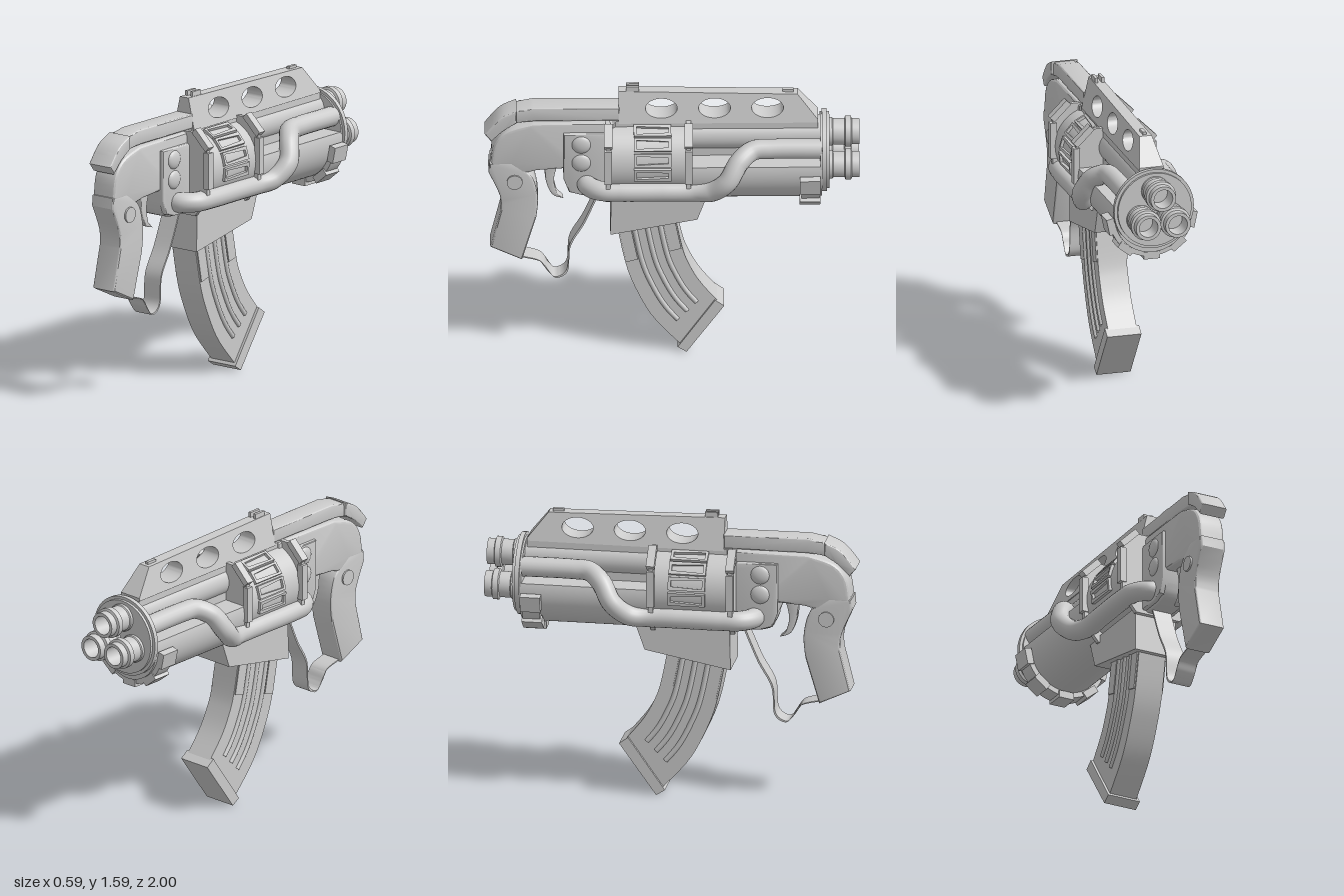
import * as THREE from 'three';
import { toCreasedNormals } from 'three/addons/utils/BufferGeometryUtils.js';

const V2 = (p) => new THREE.Vector2(p[0], p[1]);
const V3 = (p) => new THREE.Vector3(...p);
const spline = (pts, n = 20) => new THREE.SplineCurve(pts.map(V2)).getPoints(n).map((p) => [p.x, p.y]);

export function createModel() {
  const group = new THREE.Group();
  const mat = new THREE.MeshStandardMaterial({ color: 0xcccccc, side: THREE.DoubleSide });

  const add = (name, geo, x = 0, y = 0, z = 0) => {
    const mesh = new THREE.Mesh(geo, mat);
    mesh.name = name;
    mesh.position.set(x, y, z);
    group.add(mesh);
    return mesh;
  };
  const box = (name, w, h, d, x, y, z) => add(name, new THREE.BoxGeometry(w, h, d), x, y, z);

  // side outline in (z, y), extruded across x to a half width
  const sideGeo = (pts, half, bevel = 0, holes = []) => {
    const shape = new THREE.Shape(pts.map(V2));
    shape.holes.push(...holes);
    const depth = 2 * (half - bevel);
    const geo = new THREE.ExtrudeGeometry(shape, {
      depth, bevelEnabled: bevel > 0, bevelSize: bevel, bevelThickness: bevel,
      bevelOffset: -bevel, bevelSegments: 3, curveSegments: 24,
    });
    geo.translate(0, 0, -depth / 2).rotateY(-Math.PI / 2);
    return toCreasedNormals(geo, 0.5);
  };
  const side = (name, ...args) => add(name, sideGeo(...args));

  // front outline in (x, y), extruded from z0 to z1
  const along = (name, shape, z0, z1) => {
    const geo = new THREE.ExtrudeGeometry(shape, { depth: z1 - z0, bevelEnabled: false, curveSegments: 32 });
    return add(name, toCreasedNormals(geo, 0.5), 0, 0, z0);
  };
  const rod = (name, r, z0, z1, x, y, seg = 32) =>
    add(name, new THREE.CylinderGeometry(r, r, z1 - z0, seg).rotateX(Math.PI / 2), x, y, (z0 + z1) / 2);
  const tube = (name, curve, r, n = 60) => add(name, new THREE.TubeGeometry(curve, n, r, 18));
  const rectPath = (z0, z1, y0, y1) => new THREE.Path([[z0, y0], [z1, y0], [z1, y1], [z0, y1]].map(V2));

  // rear frame
  side('rearFrame', [[0.3, 1.395], ...spline([[0.74, 1.39], [0.88, 1.345], [0.95, 1.26], [0.97, 1.13]], 14),
    [0.86, 1.13], [0.8, 1.08], [0.72, 1.1], [0.58, 1.11], ...spline([[0.57, 1.02], [0.545, 0.97], [0.48, 0.95]], 8),
    [0.3, 0.95]], 0.075, 0.02);
  side('sidePanel', [[0.58, 1.335], [0.36, 1.335], [0.33, 1.3], [0.33, 0.96], [0.48, 0.96], [0.55, 0.98], [0.58, 1.06]], 0.095, 0.01);

  // back strap with two cut-outs, and its rear cap
  side('backStrap', [[0.28, 1.475], ...spline([[0.74, 1.478], [0.86, 1.45], [0.94, 1.4], [0.995, 1.325]], 12),
    ...spline([[0.96, 1.29], [0.9, 1.35], [0.82, 1.385], [0.72, 1.395]], 12), [0.28, 1.395]], 0.06, 0.012,
  [rectPath(0.52, 0.57, 1.412, 1.46), rectPath(0.765, 0.805, 1.412, 1.45)]);
  side('strapCap', [...spline([[0.83, 1.465], [0.92, 1.42], [1.0, 1.325]], 8),
    ...spline([[0.965, 1.28], [0.9, 1.345], [0.83, 1.39]], 8)], 0.075, 0.01);

  // grip, pivots and trigger
  side('grip', [[0.975, 1.15], [0.86, 1.155], ...spline([[0.79, 1.11], [0.74, 1.05], [0.715, 0.93], [0.725, 0.81]], 10),
    [0.8, 0.555], [0.97, 0.635], ...spline([[0.915, 0.86], [0.92, 0.95], [0.98, 1.09]], 8)], 0.075, 0.014);
  add('gripPivot', new THREE.CylinderGeometry(0.042, 0.042, 0.17, 28).rotateZ(Math.PI / 2), 0, 1.035, 0.84);
  side('trigger', [...spline([[0.68, 1.13], [0.675, 1.02], [0.64, 0.93], [0.58, 0.905]], 12),
    ...spline([[0.615, 0.94], [0.63, 1.02], [0.605, 1.13]], 12)], 0.025, 0.006);

  // thin strap looping from receiver to grip
  const guard = spline([[0.385, 0.96], [0.465, 0.77], [0.54, 0.63], [0.555, 0.48], [0.615, 0.435],
    [0.66, 0.475], [0.7, 0.535], [0.81, 0.565]], 48);
  side('guardStrap', [...guard, ...guard.map(([z, y]) => [z + 0.007, y + 0.008]).reverse()], 0.055);

  // central core and top rail, narrowing towards the top
  box('core', 0.13, 0.4, 1.1, 0, 1.195, -0.23);
  const holes = [0.057, -0.227, -0.51].map((z) => new THREE.Path().absellipse(z, 1.467, 0.085, 0.053, 0, Math.PI * 2));
  let rail = sideGeo([[0.285, 1.385], [0.285, 1.56], [-0.67, 1.54], [-0.78, 1.4], [-0.78, 1.385]], 0.07, 0, holes);
  const pos = rail.attributes.position;
  for (let i = 0; i < pos.count; i++) {
    pos.setX(i, pos.getX(i) * THREE.MathUtils.mapLinear(pos.getY(i), 1.385, 1.56, 1, 0.42));
  }
  add('topRail', toCreasedNormals(rail, 0.5));
  for (const s of [-1, 1]) box('rearSight', 0.016, 0.05, 0.07, s * 0.018, 1.56, 0.21);
  box('frontSight', 0.02, 0.03, 0.06, 0, 1.54, -0.62);

  // slotted drum between two eight-sided clamps
  rod('drum', 0.205, -0.1, 0.35, 0, 1.17, 48);
  const clamp = [[0.13, 1.4], [0.215, 1.32], [0.215, 1.04], [0.13, 0.94]];
  const ring = new THREE.Shape([...clamp, ...clamp.map(([x, y]) => [-x, y]).reverse()].map(V2));
  for (const z of [-0.1, 0.33]) {
    along('clampPlate', ring, z, z + 0.025);
    for (const s of [-1, 1]) {
      const tab = box('clampTab', 0.13, 0.035, 0.045, s * 0.175, 1.365, z + 0.012);
      tab.rotation.z = -s * 0.78;
      box('clampSide', 0.035, 0.2, 0.04, s * 0.213, 1.2, z + 0.012);
    }
  }
  const slot = new THREE.Shape([[-0.1, -0.036], [0.1, -0.036], [0.1, 0.036], [-0.1, 0.036]].map(V2));
  slot.holes.push(new THREE.Path([[-0.085, -0.024], [0.085, -0.016], [0.085, 0.016], [-0.085, 0.024]].map(V2)));
  for (const s of [-1, 1]) {
    for (const a of [-0.1, 0.3, 0.7, 1.08]) {
      const geo = new THREE.ExtrudeGeometry(slot, { depth: 0.02, bevelEnabled: false });
      const frame = add('slotFrame', geo.rotateY(Math.PI / 2), 0, 0, 0);
      const angle = s > 0 ? a : Math.PI - a;
      frame.rotation.z = angle;
      frame.position.set(Math.cos(angle) * 0.2, 1.17 + Math.sin(angle) * 0.2, 0.105);
    }
  }

  // lower shroud, upper tube and front plate
  const lower = new THREE.Shape().absarc(0, 1.135, 0.207, 0.25, Math.PI - 0.25, true);
  along('lowerShroud', lower, -0.8, -0.08);
  rod('upperTube', 0.088, -0.8, -0.05, 0, 1.29);
  rod('frontPlate', 0.222, -0.825, -0.8, 0, 1.18, 40);
  rod('frontPlateLip', 0.205, -0.84, -0.79, 0, 1.18, 40);

  // collar with raised blocks under the muzzle end
  const collar = new THREE.Shape().absarc(0, 1.135, 0.235, -0.12, Math.PI + 0.12, true);
  along('muzzleCollar', collar, -0.785, -0.69);
  for (let i = 0; i < 5; i++) {
    const a = -Math.PI / 2 + (i - 2) * 0.68;
    const block = box('collarBlock', 0.04, 0.09, 0.11, Math.cos(a) * 0.23, 1.135 + Math.sin(a) * 0.23, -0.735);
    block.rotation.z = a;
  }

  // three hollow barrels
  const bore = [[0.052, 0.1], [0.052, 0.2], [0.07, 0.2], [0.07, 0.16], [0.083, 0.155], [0.083, 0.125],
    [0.07, 0.12], [0.07, 0.06], [0.076, 0.055], [0.076, 0], [0, 0], [0, 0.1], [0.052, 0.1]];
  for (const [x, y] of [[0, 1.292], [-0.082, 1.137], [0.082, 1.137]]) {
    const geo = new THREE.LatheGeometry(bore.map(V2), 32).rotateX(-Math.PI / 2);
    add('barrel', toCreasedNormals(geo, 0.5), x, y, -0.8);
  }

  // mirrored side pipes and panel domes
  for (const s of [-1, 1]) {
    const path = [[0.05, 1.03, 0.455], [0.11, 1.03, 0.45], [0.165, 1.03, 0.39], [0.178, 1.03, 0.28], [0.178, 1.03, 0.05],
      [0.18, 1.03, -0.12], [0.21, 1.045, -0.21], [0.24, 1.12, -0.295], [0.2, 1.215, -0.355],
      [0.145, 1.258, -0.43], [0.135, 1.262, -0.52], [0.135, 1.262, -0.8]];
    const curve = new THREE.CatmullRomCurve3(path.map(([x, y, z]) => V3([s * x, y, z])));
    tube('sidePipe', curve, 0.054, 110);
    for (const y of [1.27, 1.16]) {
      const dome = add('panelDome', new THREE.SphereGeometry(0.052, 24, 14), s * 0.09, y, 0.485);
      dome.scale.x = 0.45;
    }
  }

  // magazine well, curved magazine with ribs, and base plate
  side('magazineWell', [[0.325, 0.98], [0.33, 0.735], [-0.135, 0.825], [-0.19, 0.98]], 0.122);
  const rear = [[0.3, 0.8], [0.25, 0.545], [0.195, 0.385], [0.1, 0.205], [-0.055, 0.03]];
  const front = [[-0.015, 0.83], [-0.055, 0.63], [-0.09, 0.53], [-0.15, 0.42], [-0.255, 0.29]];
  side('magazine', [...spline(rear, 18), ...spline(front, 18).reverse()], 0.08);
  side('magazineBase', [[-0.03, 0.03], [-0.077, 0], [-0.278, 0.28], [-0.23, 0.315]], 0.095);
  const mix = (t) => rear.map(([z, y], i) => [z + (front[i][0] - z) * t, y + (front[i][1] - y) * t]);
  for (const s of [-1, 1]) {
    for (const t of [0.28, 0.5, 0.72]) {
      const pts = new THREE.SplineCurve(mix(t).map(V2)).getPoints(20).slice(0, 18);
      tube('magazineRib', new THREE.CatmullRomCurve3(pts.map((p) => V3([s * 0.078, p.y, p.x]))), 0.014, 30);
    }
  }
  for (const [a, b] of [[0.02, 0.22], [0.78, 0.98]]) {
    const [p, q] = [mix(a), mix(b)];
    side('magazinePanel', [p[0], p[1], q[1], q[0]], 0.087);
  }
  return group;
}
